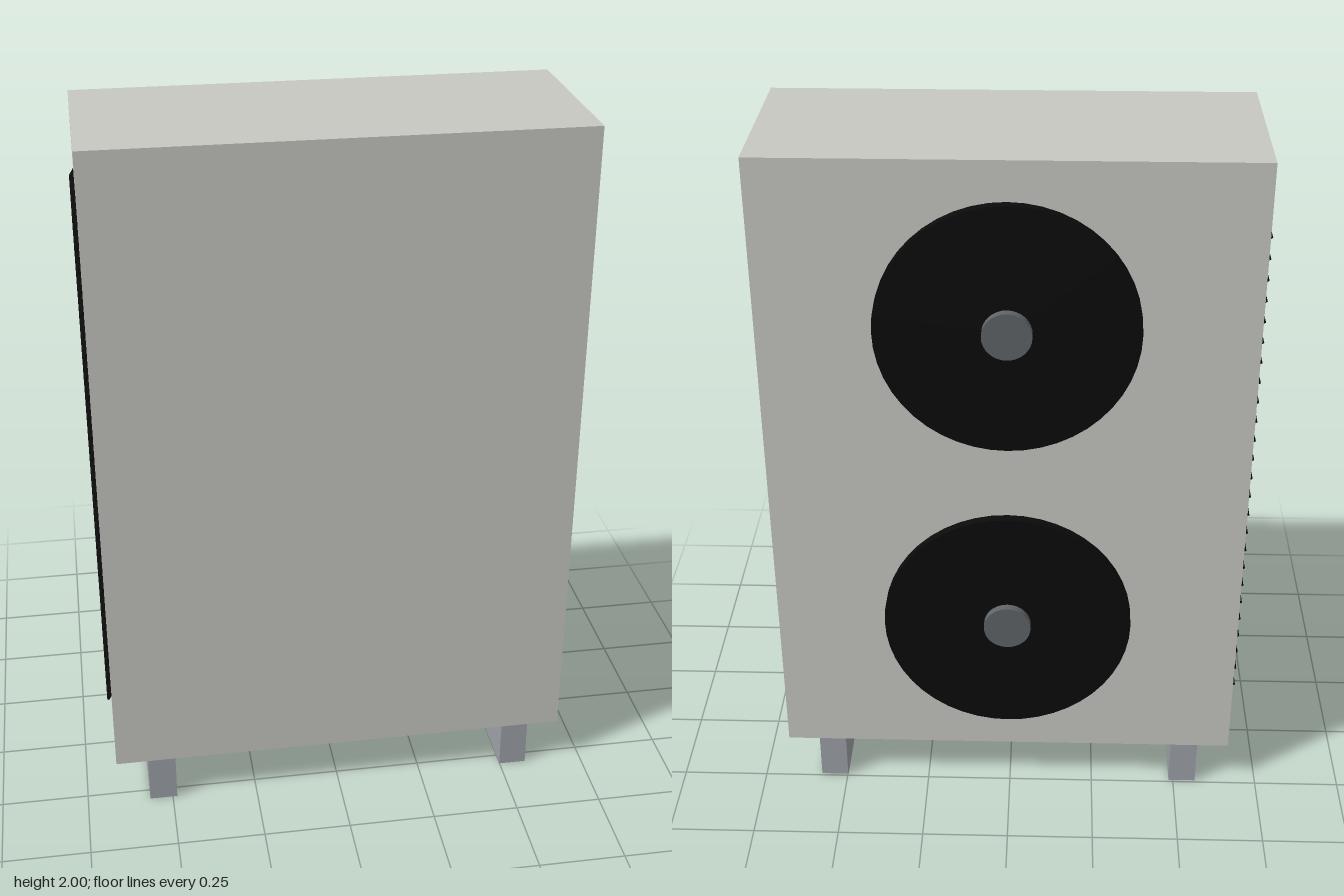
import * as THREE from 'three';

export function createModel() {
  const group = new THREE.Group();
  group.name = 'outdoorUnit';

  const material = (name, color) => {
    const m = new THREE.MeshStandardMaterial({ color });
    m.name = name;
    return m;
  };
  const casingGrey = material('casing grey', 0xc8c8c2);
  const footGrey = material('foot grey', 0x9da1a7);
  const black = material('black', 0x0b0b0b);
  const hubGrey = material('hub grey', 0x606468);

  const add = (name, geometry, mat, x, y, z) => {
    const mesh = new THREE.Mesh(geometry, mat);
    mesh.name = name;
    mesh.position.set(x, y, z);
    group.add(mesh);
    return mesh;
  };

  // Casing
  add('casing', new THREE.BoxGeometry(1.332, 1.86, 0.533), casingGrey, 0.006, 1.07, 0.024);

  // Two feet running front to back
  const foot = new THREE.BoxGeometry(0.08, 0.14, 0.533);
  for (const side of [-1, 1]) {
    add(side < 0 ? 'rightFoot' : 'leftFoot', foot, footGrey, 0.006 + side * 0.533, 0.07, 0.024);
  }

  // Fan discs with raised hubs on the back
  const disc = new THREE.CylinderGeometry(0.354, 0.354, 0.028, 48).rotateX(Math.PI / 2);
  const hub = new THREE.CylinderGeometry(0.067, 0.067, 0.024, 32).rotateX(Math.PI / 2);
  for (const [label, y] of [['lower', 0.604], ['upper', 1.536]]) {
    add(label + 'Fan', disc, black, 0.006, y, -0.256);
    add(label + 'FanHub', hub, hubGrey, 0.006, y, -0.281);
  }

  // Tilted louvre slats on the right side, outer edge lowest
  const slat = new THREE.BoxGeometry(0.04, 0.006, 0.425).rotateZ(Math.PI / 3);
  for (let i = 0; i < 25; i++) {
    add('louvreSlat' + (i + 1), slat, black, -0.66, 0.35 + i * 0.0602, 0.022);
  }

  return group;
}
